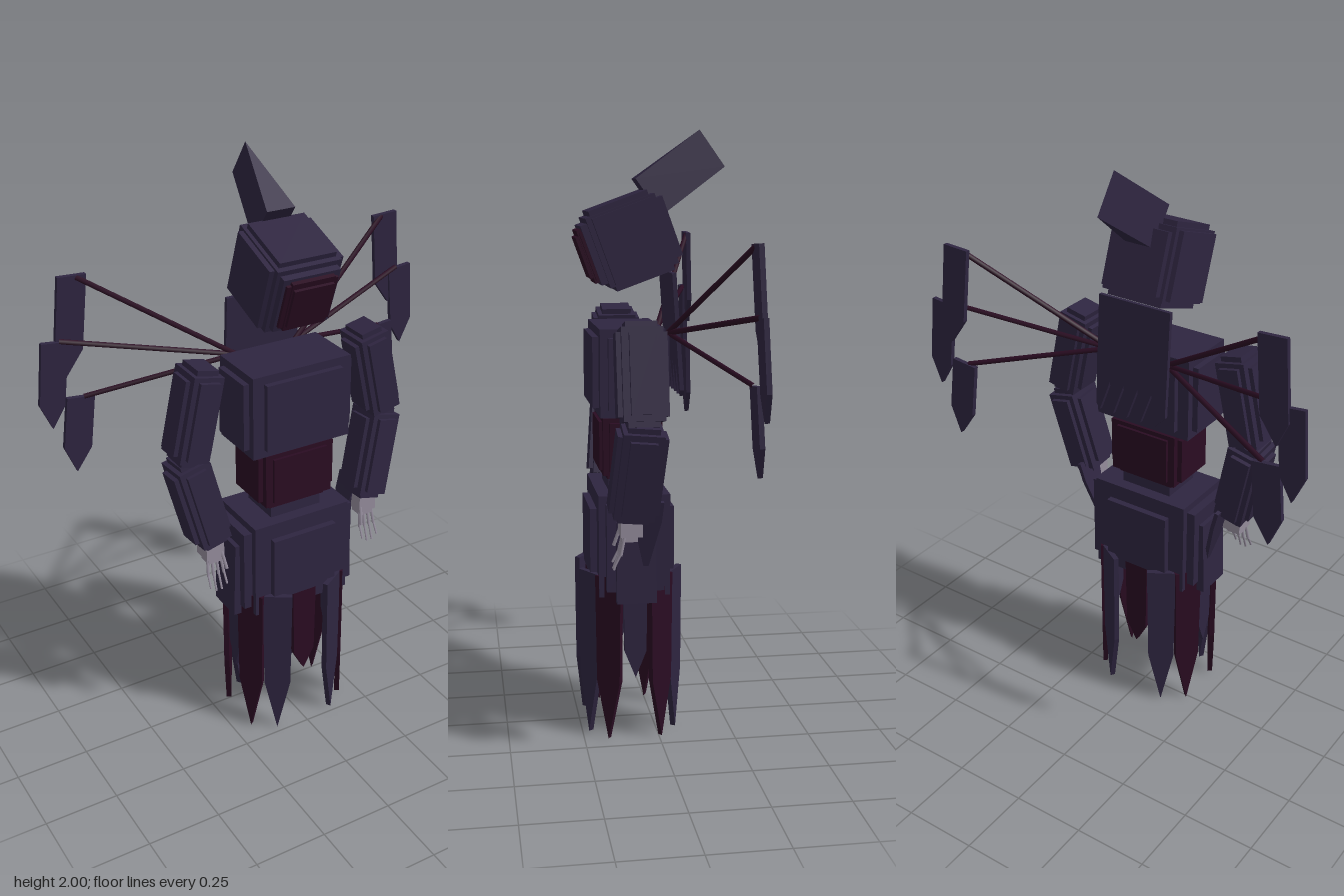
import * as THREE from 'three';

const mat = (name, color) => {
  const m = new THREE.MeshStandardMaterial({ color });
  m.name = name;
  return m;
};

export function createModel() {
  const model = new THREE.Group();
  model.name = 'armouredFigure';
  const purple = mat('dark purple', 0x2e2540);
  const maroon = mat('dark maroon', 0x2a0c22);
  const grey = mat('pale grey', 0x948c9c);

  const add = (parent, name, geo, material, pos = [0, 0, 0], rot = [0, 0, 0]) => {
    const m = new THREE.Mesh(geo, material);
    m.name = name;
    m.position.set(...pos);
    m.rotation.set(...rot);
    parent.add(m);
    return m;
  };
  const group = (name, pos, rot = [0, 0, 0], parent = model) => {
    const g = new THREE.Group();
    g.name = name;
    g.position.set(...pos);
    g.rotation.set(...rot);
    parent.add(g);
    return g;
  };
  // Overlapping boxes: a core with raised panels
  const padded = (parent, name, material, sizes) =>
    sizes.forEach((s, i) => add(parent, name + (i ? 'Panel' : 'Core'), new THREE.BoxGeometry(...s), material));
  // Flat outline given thickness, centred on z
  const plate = (pts, t) => {
    const shape = new THREE.Shape(pts.map((p) => new THREE.Vector2(...p)));
    return new THREE.ExtrudeGeometry(shape, { depth: t, bevelEnabled: false }).translate(0, 0, -t / 2);
  };
  // Hanging blade: top edge at y = 0, tip at y = -len
  const blade = (w, len, tip, t = 0.018) =>
    plate([[-w / 2, 0], [w / 2, 0], [w / 2 * 0.9, tip - len], [0, -len], [-w / 2 * 0.9, tip - len]], t);
  const rod = (parent, name, a, b, r, material) => {
    const curve = new THREE.LineCurve3(new THREE.Vector3(...a), new THREE.Vector3(...b));
    add(parent, name, new THREE.TubeGeometry(curve, 1, r, 6), material);
  };

  // Torso
  const chest = group('chest', [0, 1.228, 0.085]);
  padded(chest, 'chest', purple, [[0.36, 0.285, 0.21], [0.4, 0.23, 0.16], [0.28, 0.23, 0.25]]);
  const waist = group('waist', [0, 0.98, 0.08]);
  padded(waist, 'waist', maroon, [[0.25, 0.19, 0.19], [0.285, 0.16, 0.15], [0.2, 0.16, 0.21], [0.21, 0.22, 0.16]]);
  const pelvis = group('pelvis', [0, 0.66, 0.08]);
  padded(pelvis, 'pelvis', purple, [[0.36, 0.34, 0.235], [0.42, 0.29, 0.19], [0.24, 0.23, 0.28]]);
  add(pelvis, 'pelvisTop', new THREE.BoxGeometry(0.19, 0.06, 0.15), purple, [0, 0.185, 0]);
  for (const s of [-1, 1])
    add(pelvis, 'hipPlate', new THREE.BoxGeometry(0.03, 0.27, 0.13), purple, [s * 0.215, -0.045, 0], [0, 0, s * 0.03]);

  // Head, tilted downwards
  const head = group('head', [0, 1.645, 0.075], [0.35, 0, 0]);
  padded(head, 'head', purple, [[0.225, 0.235, 0.235], [0.26, 0.22, 0.2], [0.2, 0.27, 0.2], [0.2, 0.2, 0.28]]);
  add(head, 'faceCore', new THREE.BoxGeometry(0.18, 0.16, 0.1), maroon, [0, 0, 0.1]);
  add(head, 'facePanel', new THREE.BoxGeometry(0.15, 0.18, 0.11), maroon, [0, 0, 0.1]);
  add(head, 'faceFront', new THREE.BoxGeometry(0.14, 0.14, 0.13), maroon, [0, 0, 0.1]);

  // Crest: a wedge leaning back from the crown
  add(model, 'crest', plate([[-0.05, 0], [0.05, 0], [0, 0.268]], 0.145), purple, [0, 1.782, 0.014], [-0.945, 0, 0]);

  // Ragged back cape
  const cape = [[-0.135, 0], [0.135, 0], [0.135, -0.38]];
  const teeth = 5;
  for (let i = 0; i < teeth; i++) {
    const x = 0.135 - (i + 0.5) * (0.27 / teeth);
    cape.push([x + 0.013, -0.4], [x - 0.025, -0.29]);
  }
  cape[cape.length - 1] = [-0.135, -0.36];
  add(model, 'cape', plate(cape, 0.014), purple, [0, 1.543, -0.056], [0.07, 0, 0]);

  // Wings: three rods on each side, each carrying a pointed feather
  const feathers = [
    { end: [0.57, 1.645], pts: [[0.63, 1.655], [0.535, 1.65], [0.56, 1.4], [0.62, 1.315], [0.655, 1.395]] },
    { end: [0.64, 1.445], pts: [[0.7, 1.45], [0.61, 1.44], [0.635, 1.22], [0.68, 1.145], [0.72, 1.235]] },
    { end: [0.57, 1.238], pts: [[0.63, 1.245], [0.535, 1.235], [0.555, 1.05], [0.61, 0.97], [0.65, 1.065]] },
  ];
  for (const s of [-1, 1]) {
    const wing = group(s > 0 ? 'leftWing' : 'rightWing', [0, 0, 0]);
    for (const f of feathers) {
      rod(wing, 'wingRod', [s * 0.11, 1.35, -0.04], [s * f.end[0], f.end[1], -0.22], 0.009, maroon);
      const top = f.pts[0][1];
      add(wing, 'feather', plate(f.pts.map(([x, y]) => [s * x, y - top]), 0.016), purple, [0, top, -0.222], [0.04, 0, 0]);
    }
  }

  // Arms and hands
  const armSizes = [[0.105, 0.29, 0.13], [0.135, 0.25, 0.085], [0.07, 0.26, 0.16], [0.075, 0.325, 0.1]];
  for (const s of [-1, 1]) {
    const arm = group(s > 0 ? 'leftArm' : 'rightArm', [0, 0, 0]);
    const upper = group('upperArm', [s * 0.335, 1.245, 0.08], [0, 0, s * 0.215], arm);
    padded(upper, 'upperArm', purple, armSizes);
    const lower = group('forearm', [s * 0.335, 0.94, 0.092], [-0.09, 0, s * -0.23], arm);
    padded(lower, 'forearm', purple, armSizes);
    // Sleeve spike on the inner side of the forearm
    add(arm, 'sleeveSpike', blade(0.1, 0.27, 0.2, 0.014).rotateY(Math.PI / 2), purple, [s * 0.285, 0.83, 0.05], [0, 0, s * -0.27]);

    const hand = group('hand', [s * 0.3, 0.75, 0.11], [0, 0, 0], arm);
    add(hand, 'palm', new THREE.BoxGeometry(0.065, 0.06, 0.07), grey, [0, 0.01, 0]);
    add(hand, 'knuckles', new THREE.BoxGeometry(0.05, 0.05, 0.05), grey, [0, -0.012, 0.005]);
    for (let i = 0; i < 4; i++) {
      const x = (i - 1.5) * 0.016;
      const drop = i % 3 ? 0.13 : 0.115;
      rod(hand, 'finger', [x, -0.02, 0.022], [x * 1.2, -0.08, 0.035], 0.0055, grey);
      rod(hand, 'fingerTip', [x * 1.2, -0.075, 0.035], [x * 1.25, -drop, 0.055], 0.004, grey);
    }
    rod(hand, 'thumb', [s * -0.025, 0, 0.03], [s * -0.033, -0.06, 0.05], 0.006, grey);
  }

  // Skirt: a ring of twelve blades in alternating colours
  const skirt = group('skirt', [0, 0.56, 0.08]);
  const hang = (x, z, turn, w, len, tip, material) =>
    add(skirt, 'skirtBlade', blade(w, len, tip), material, [x, 0, z], [0, turn, 0]);
  for (const s of [-1, 1]) {
    hang(0, s * 0.13, 0, 0.09, 0.345, 0.075, maroon);
    hang(s * 0.19, 0, Math.PI / 2, 0.08, 0.345, 0.09, purple);
    for (const f of [-1, 1]) {
      hang(s * 0.108, f * 0.14, s * f * 0.55, 0.1, 0.56, 0.2, purple);
      hang(s * 0.18, f * 0.085, s * f * 0.95, 0.095, 0.56, 0.2, maroon);
    }
  }
  return model;
}
